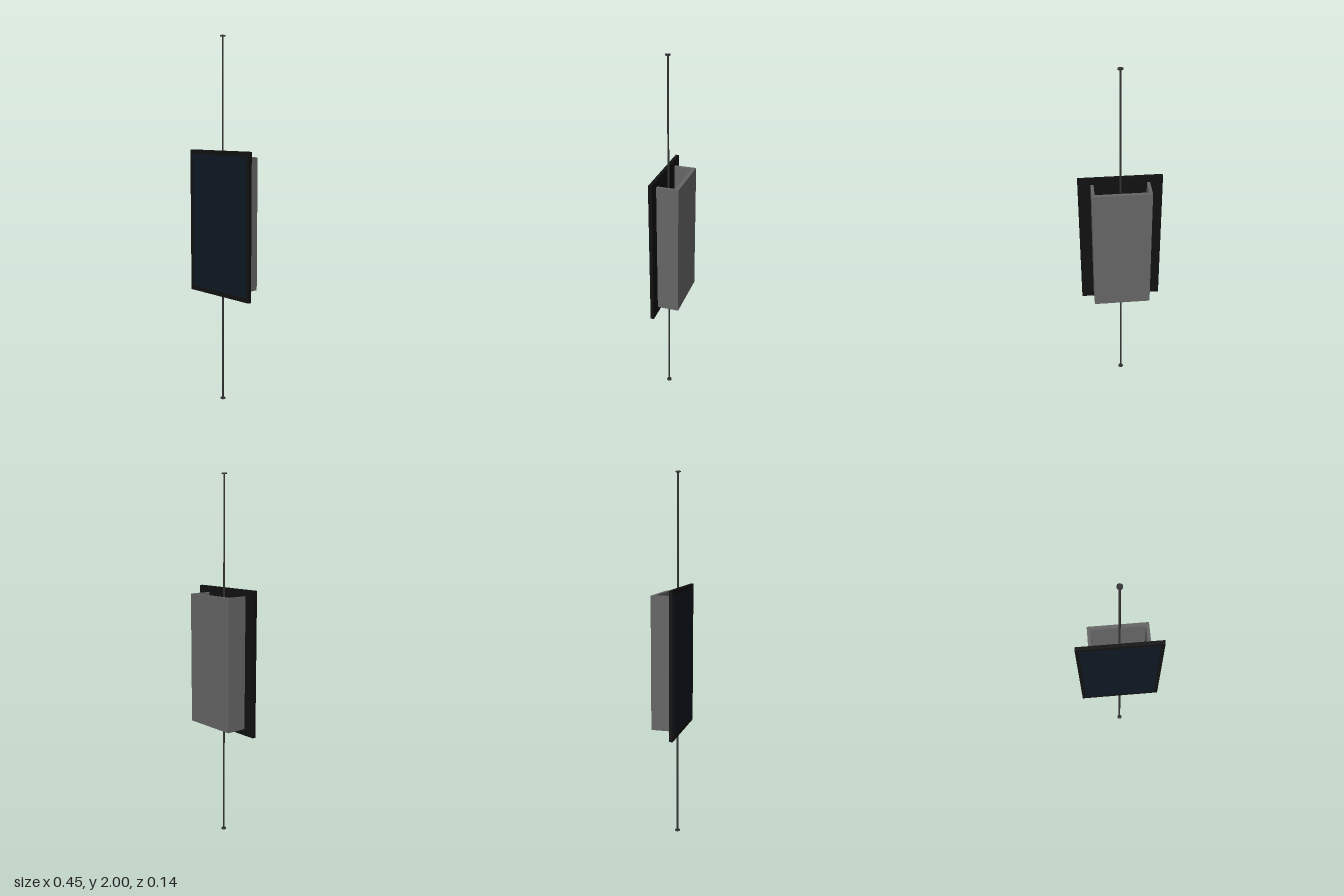
import * as THREE from 'three';

export function createModel() {
  const group = new THREE.Group();
  const mat = (color) => new THREE.MeshStandardMaterial({ color });
  const black = mat(0x111111), glass = mat(0x0d1822), grey = mat(0x666666);
  const cableMat = mat(0x333333), drumMat = mat(0x3a3a3a), motorMat = mat(0x1c1c1c);

  const add = (name, geometry, material, x, y, z) => {
    const mesh = new THREE.Mesh(geometry, material);
    mesh.name = name;
    mesh.position.set(x, y, z);
    group.add(mesh);
    return mesh;
  };
  // Box given by its limits on each axis
  const box = (name, material, [x0, x1], [y0, y1], [z0, z1]) =>
    add(name, new THREE.BoxGeometry(x1 - x0, y1 - y0, z1 - z0), material,
      (x0 + x1) / 2, (y0 + y1) / 2, (z0 + z1) / 2);
  // Cylinder lying along z
  const disc = (name, material, r, sides, x, y, z0, z1) =>
    add(name, new THREE.CylinderGeometry(r, r, z1 - z0, sides).rotateX(Math.PI / 2),
      material, x, y, (z0 + z1) / 2);

  // Display panel with its glass
  box('displayFrame', black, [-0.224, 0.224], [0.603, 1.4], [0.048, 0.067]);
  box('displayGlass', glass, [-0.204, 0.204], [0.63, 1.375], [0.06, 0.068]);

  // Channel-shaped rear housing, open at top and bottom
  const u = new THREE.Shape();
  [[-0.157, -0.048], [-0.157, 0.07], [0.157, 0.07], [0.157, -0.048],
    [0.14, -0.048], [0.14, 0.05], [-0.14, 0.05], [-0.14, -0.048]]
    .forEach(([x, y], i) => (i ? u.lineTo(x, y) : u.moveTo(x, y)));
  const channel = new THREE.ExtrudeGeometry(u, { depth: 0.725, bevelEnabled: false });
  channel.rotateX(-Math.PI / 2);
  add('rearHousing', channel, grey, 0, 0.64, 0);

  // Suspension cable and its end fittings
  add('cable', new THREE.CylinderGeometry(0.005, 0.005, 2, 12), cableMat, 0, 1, 0.035);
  for (const y of [0.003, 1.997]) {
    add('cableEnd', new THREE.CylinderGeometry(0.014, 0.014, 0.006, 16), cableMat, 0, y, 0.035);
  }

  // Drive drum, motor with end flanges, and control box inside the housing
  disc('drum', drumMat, 0.088, 16, 0, 1, 0.026, 0.046);
  disc('motor', motorMat, 0.019, 16, -0.043, 1, -0.006, 0.026);
  disc('motorFlange', motorMat, 0.022, 16, -0.043, 1, -0.007, -0.002);
  disc('motorFlange', motorMat, 0.022, 16, -0.043, 1, 0.021, 0.026);
  box('controlBox', motorMat, [0.003, 0.079], [0.96, 1.04], [0.012, 0.026]);

  return group;
}
